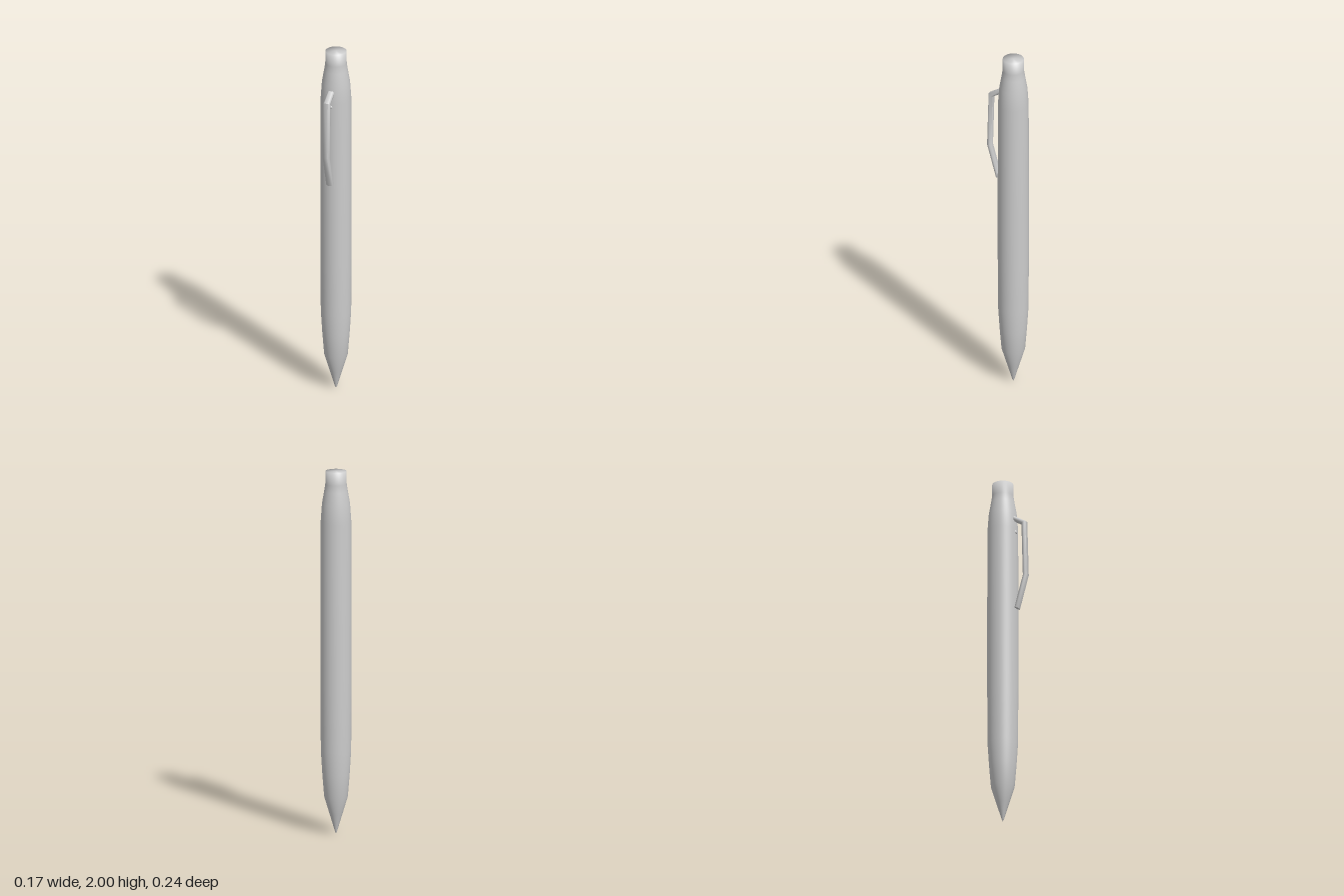
import * as THREE from 'three';
import { toCreasedNormals } from 'three/addons/utils/BufferGeometryUtils.js';

const AXIS_Z = -0.037; // the barrel sits behind the centre, the clip in front

// Sweeps an eight-sided section along mitred stations [y, z] in the x = 0 plane
function sweptBar(path, halfWidth, halfThick) {
  const section = [[1, 0.45], [0.55, 1], [-0.55, 1], [-1, 0.45], [-1, -0.45], [-0.55, -1], [0.55, -1], [1, -0.45]];
  const n = section.length;
  const pos = [], index = [];
  path.forEach((p, i) => {
    const a = path[Math.max(i - 1, 0)], b = path[Math.min(i + 1, path.length - 1)];
    const dir = (s, e) => new THREE.Vector2(e[0] - s[0], e[1] - s[1]).normalize();
    const d0 = i > 0 ? dir(a, p) : dir(p, b);
    const d1 = i < path.length - 1 ? dir(p, b) : d0;
    const t = d0.clone().add(d1).normalize();
    const stretch = halfThick / t.dot(d0);
    // outward side of a path that runs downwards
    for (const [u, v] of section) pos.push(u * halfWidth, p[0] + t.y * v * stretch, p[1] - t.x * v * stretch);
  });
  const last = (path.length - 1) * n;
  for (let i = 0; i < last; i += n) {
    for (let j = 0; j < n; j++) {
      const k = (j + 1) % n;
      index.push(i + j, i + k, i + n + j, i + k, i + n + k, i + n + j);
    }
  }
  for (let j = 1; j < n - 1; j++) {
    index.push(0, j + 1, j, last, last + j, last + j + 1);
  }
  // choose outward winding from the signed volume
  const v = (i) => new THREE.Vector3().fromArray(pos, i * 3);
  let volume = 0;
  for (let i = 0; i < index.length; i += 3) volume += v(index[i]).dot(v(index[i + 1]).cross(v(index[i + 2])));
  if (volume < 0) index.reverse();
  const geo = new THREE.BufferGeometry();
  geo.setAttribute('position', new THREE.Float32BufferAttribute(pos, 3));
  geo.setIndex(index);
  return toCreasedNormals(geo, 0.9);
}

export function createModel() {
  const model = new THREE.Group();
  model.name = 'pen';
  const grey = new THREE.MeshStandardMaterial({ color: 0xcccccc });
  grey.name = 'light grey';

  const add = (name, geometry, x, y, z) => {
    const mesh = new THREE.Mesh(geometry, grey);
    mesh.name = name;
    mesh.position.set(x, y, z);
    model.add(mesh);
    return mesh;
  };

  // Barrel from writing point to push button, one turned profile
  const profile = [
    [0, 0], [0.006, 0.012], [0.034, 0.105], [0.064, 0.205], [0.074, 0.33], [0.082, 0.46],
    [0.084, 0.78], [0.084, 1.2], [0.083, 1.72], [0.076, 1.82], [0.064, 1.89],
    [0.058, 1.93], [0.057, 2.0], [0, 2.0],
  ].map(([r, y]) => new THREE.Vector2(r, y));
  add('barrel', new THREE.LatheGeometry(profile, 48), 0, 0, AXIS_Z);

  // Bent pocket clip, rooted in the barrel at the top
  const clipPath = [[1.785, 0.03], [1.742, 0.098], [1.43, 0.107], [1.245, 0.053]];
  add('clip', sweptBar(clipPath, 0.019, 0.0125), 0, 0, 0);

  // Small stud on the barrel behind the clip
  add('clipStud', new THREE.SphereGeometry(0.014, 16, 12), 0, 1.7, 0.037);

  return model;
}
